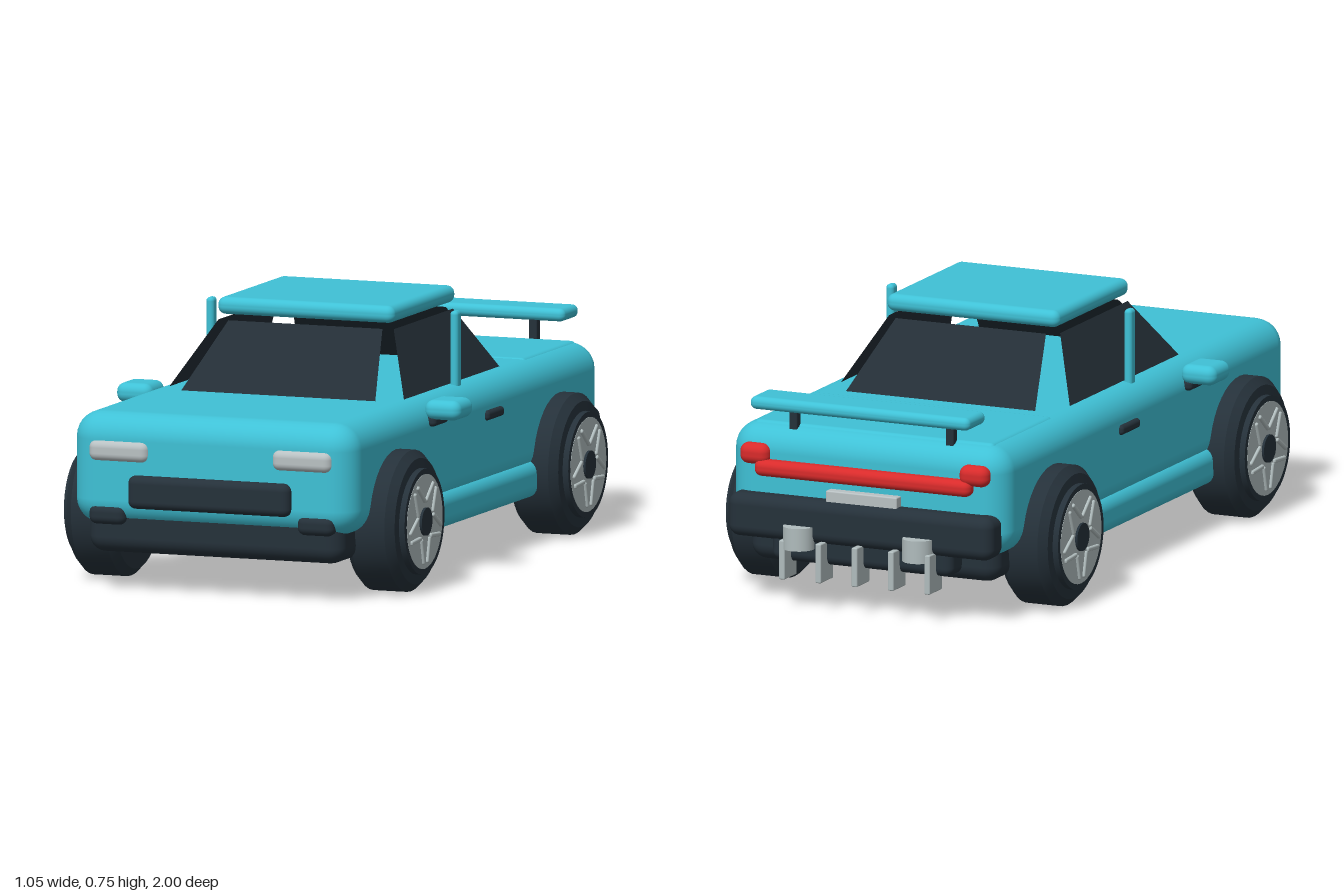
import * as THREE from 'three';
import { toCreasedNormals } from 'three/addons/utils/BufferGeometryUtils.js';
import { RoundedBoxGeometry } from 'three/addons/geometries/RoundedBoxGeometry.js';

function material(name, color, side = THREE.FrontSide) {
  const m = new THREE.MeshStandardMaterial({ color, side });
  m.name = name;
  return m;
}

export function createModel() {
  const paint = material('teal paint', 0x3fc1d6);
  const dark = material('dark trim', 0x25313a);
  const glass = material('dark glass', 0x232e36, THREE.DoubleSide);
  const silver = material('silver metal', 0xb0bcbd);
  const lamp = material('headlight grey', 0xb9c1c3);
  const red = material('tail light red', 0xd92b2b);

  const car = new THREE.Group();
  car.name = 'car';

  function add(name, geometry, mat, parent = car) {
    const mesh = new THREE.Mesh(geometry, mat);
    mesh.name = name;
    parent.add(mesh);
    return mesh;
  }

  // Rounded block given by its limits on each axis
  function block(name, mat, [x0, x1], [y0, y1], [z0, z1], radius) {
    const g = new RoundedBoxGeometry(x1 - x0, y1 - y0, z1 - z0, 4, radius);
    g.translate((x0 + x1) / 2, (y0 + y1) / 2, (z0 + z1) / 2);
    return add(name, g, mat);
  }

  // The same block on both sides of the car
  function pair(name, mat, [x0, x1], y, z, radius) {
    block(name + 'Left', mat, [x0, x1], y, z, radius);
    block(name + 'Right', mat, [-x1, -x0], y, z, radius);
  }

  // Body shell, floor, boot lid and sills
  block('body', paint, [-0.428, 0.428], [0.185, 0.505], [-0.91, 0.975], 0.075);
  block('underbody', dark, [-0.385, 0.385], [0.107, 0.27], [-0.87, 0.955], 0.045);
  block('bootLid', paint, [-0.375, 0.375], [0.47, 0.508], [-0.86, -0.46], 0.018);
  pair('sill', paint, [0.33, 0.44], [0.125, 0.235], [-0.5, 0.55], 0.04);

  // Four free-standing window panes
  function pane(name, corners) {
    const g = new THREE.BufferGeometry();
    g.setAttribute('position', new THREE.Float32BufferAttribute(corners.flat(), 3));
    g.setIndex([0, 1, 2, 0, 2, 3]);
    g.computeVertexNormals();
    add(name, g, glass);
  }
  const low = 0.5, high = 0.68;
  pane('windscreen', [[-0.295, low, 0.47], [0.295, low, 0.47], [0.233, high, 0.26], [-0.233, high, 0.26]]);
  pane('rearWindow', [[0.295, low, -0.42], [-0.295, low, -0.42], [-0.233, high, -0.215], [0.233, high, -0.215]]);
  pane('sideWindowLeft', [[0.357, low, 0.405], [0.357, low, -0.32], [0.265, high, -0.19], [0.265, high, 0.255]]);
  pane('sideWindowRight', [[-0.357, low, -0.32], [-0.357, low, 0.405], [-0.265, high, 0.255], [-0.265, high, -0.19]]);

  // Roof, door pillars, handles and mirrors
  block('roof', paint, [-0.267, 0.267], [0.696, 0.745], [-0.213, 0.268], 0.022);
  pair('pillar', paint, [0.357, 0.381], [0.48, 0.712], [0.03, 0.066], 0.011);
  pair('doorHandle', dark, [0.415, 0.44], [0.392, 0.42], [-0.148, -0.026], 0.011);
  pair('mirror', paint, [0.412, 0.52], [0.45, 0.506], [0.28, 0.402], 0.025);
  pair('mirrorMount', dark, [0.395, 0.446], [0.43, 0.46], [0.288, 0.392], 0.012);

  // Front lights, grille and bumper corners
  pair('headlight', lamp, [0.187, 0.367], [0.37, 0.43], [0.93, 0.988], 0.022);
  block('grille', dark, [-0.245, 0.245], [0.241, 0.335], [0.93, 1], 0.022);
  pair('bumperCorner', dark, [0.26, 0.37], [0.19, 0.246], [0.9, 0.98], 0.022);

  // Rear lights, bumper and plate
  pair('tailLight', red, [0.295, 0.385], [0.395, 0.455], [-0.935, -0.875], 0.025);
  block('tailLightBar', red, [-0.335, 0.335], [0.365, 0.412], [-0.942, -0.88], 0.02);
  block('rearBumper', dark, [-0.41, 0.41], [0.19, 0.315], [-0.96, -0.86], 0.032);
  block('rearValance', dark, [-0.28, 0.28], [0.13, 0.22], [-0.942, -0.84], 0.025);
  block('plate', lamp, [-0.11, 0.11], [0.295, 0.345], [-0.938, -0.9], 0.004);

  // Diffuser fins and upright exhaust cans
  for (let i = -2; i <= 2; i++) {
    const x = i * 0.1125;
    block('diffuserFin', silver, [x - 0.009, x + 0.009], [0.087, 0.2], [-0.984, -0.9], 0.004);
  }
  for (const side of [-1, 1]) {
    const can = add('exhaust', new THREE.CylinderGeometry(0.045, 0.045, 0.065, 24), silver);
    can.position.set(side * 0.185, 0.208, -0.955);
  }

  // Rear wing on two posts
  block('rearWing', paint, [-0.34, 0.34], [0.56, 0.597], [-0.955, -0.835], 0.017);
  pair('wingPost', dark, [0.23, 0.255], [0.48, 0.575], [-0.872, -0.845], 0.004);

  // Wheel pointing along +x: chamfered tyre, rim ring, face, spokes and hub
  const lathe = (pts) => toCreasedNormals(
    new THREE.LatheGeometry(pts.map((p) => new THREE.Vector2(...p)), 40), 0.6);
  const tyreGeo = lathe([[0, 0.35], [0.178, 0.35], [0.2, 0.372], [0.2, 0.474],
    [0.178, 0.496], [0.15, 0.498], [0.15, 0.515], [0.133, 0.515]]);
  const faceGeo = new THREE.CylinderGeometry(0.134, 0.134, 0.02, 40).translate(0, 0.506, 0);
  const hubGeo = new THREE.CylinderGeometry(0.04, 0.04, 0.02, 24).translate(0, 0.513, 0);
  const spokeGeo = new RoundedBoxGeometry(0.075, 0.012, 0.013, 2, 0.005);

  function wheel(name, side, z) {
    const group = new THREE.Group();
    group.name = name;
    const axle = new THREE.Group();
    axle.rotation.z = -Math.PI / 2;
    group.add(axle);
    add('tyre', tyreGeo, dark, axle);
    add('rim', faceGeo, silver, axle);
    add('hub', hubGeo, dark, axle);
    for (let i = 0; i < 5; i++) {
      for (const s of [-1, 1]) {
        const arm = new THREE.Group();
        arm.rotation.y = (i * Math.PI * 2) / 5;
        axle.add(arm);
        const spoke = add('spoke', spokeGeo, silver, arm);
        spoke.position.set(0.083, 0.517, s * 0.022);
        spoke.rotation.y = s * 0.25;
      }
    }
    group.rotation.y = side > 0 ? 0 : Math.PI;
    group.position.set(0, 0.2, z);
    car.add(group);
  }
  for (const [label, side] of [['Left', 1], ['Right', -1]]) {
    wheel('frontWheel' + label, side, 0.645);
    wheel('rearWheel' + label, side, -0.585);
  }

  return car;
}
